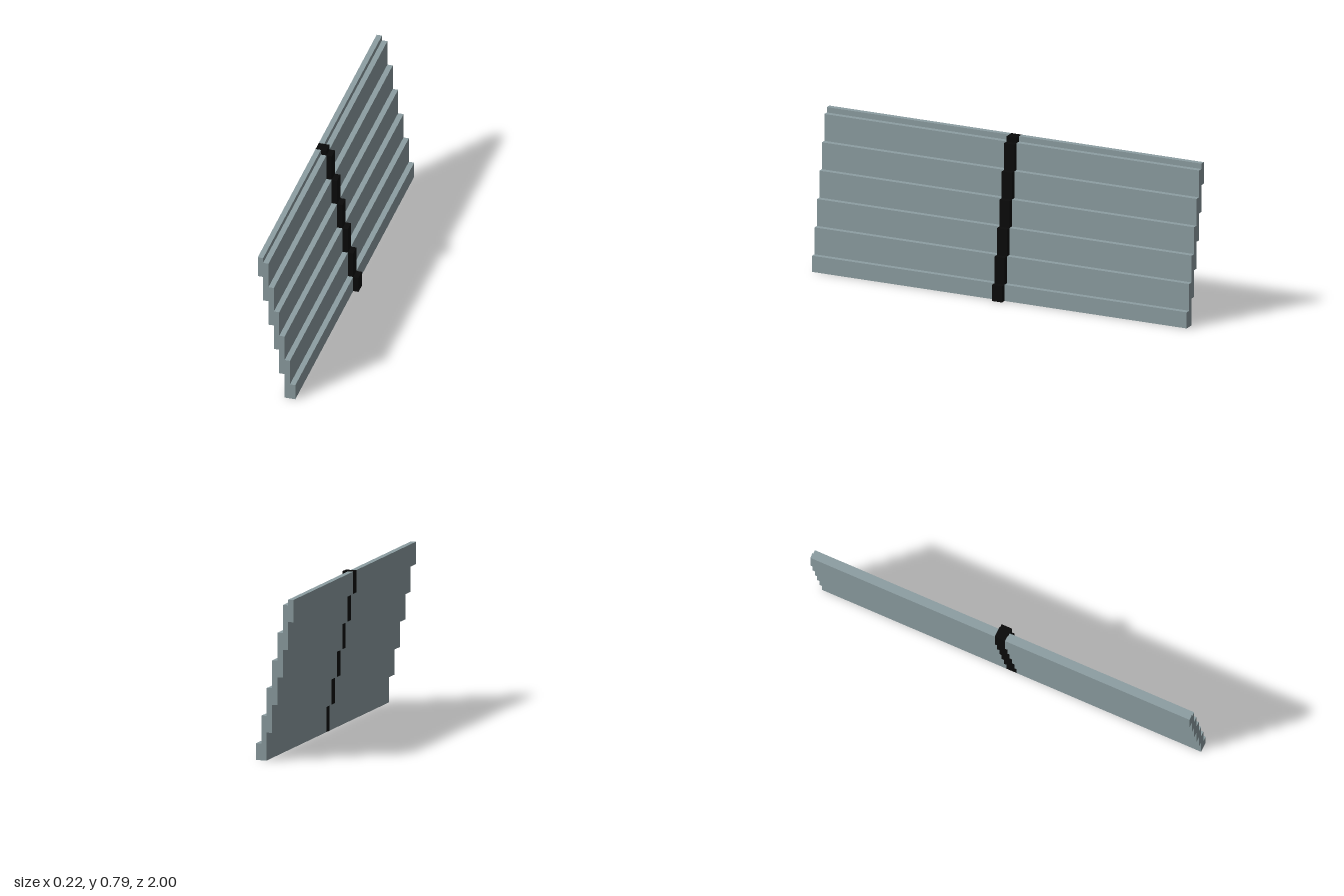
import * as THREE from 'three';

const STEPS = 6, RUN = 0.0269, RISE = 0.1353, TOP = 0.785, BAND = 0.027;

// Stepped cross-section of the overlapping boards; extra thickens the +x side
function steppedShape(extra) {
  const pts = [];
  let x = 0.0807 + extra;
  pts.push([x, 0]);
  for (let i = 0; i < STEPS; i++) {
    const y = 0.0815 + RISE * i;
    pts.push([x, y]);
    x -= RUN;
    pts.push([x, y]);
  }
  pts.push([x, TOP], [-0.1076, TOP]);
  for (let i = STEPS - 1; i > 0; i--) {
    const left = 0.0269 - RUN * i;
    pts.push([left, RISE * i], [left + RUN, RISE * i]);
  }
  pts.push([0.0269, 0]);
  return new THREE.Shape(pts.map(([px, py]) => new THREE.Vector2(px, py)));
}

function steppedPart(name, material, extra, z0, z1) {
  const geometry = new THREE.ExtrudeGeometry(steppedShape(extra), { depth: z1 - z0, bevelEnabled: false });
  geometry.translate(0, 0, z0);
  const mesh = new THREE.Mesh(geometry, material);
  mesh.name = name;
  return mesh;
}

export function createModel() {
  const group = new THREE.Group();
  group.name = 'steppedPanel';
  const grey = new THREE.MeshStandardMaterial({ color: 0x8d9ea2 });
  grey.name = 'blue grey';
  const black = new THREE.MeshStandardMaterial({ color: 0x0a0a0a });
  black.name = 'black';

  // Two board runs on either side of the central joint band
  group.add(steppedPart('frontBoards', grey, 0, BAND, 1));
  group.add(steppedPart('backBoards', grey, 0, -1, -BAND));
  group.add(steppedPart('jointBand', black, RUN, -BAND, BAND));
  return group;
}
